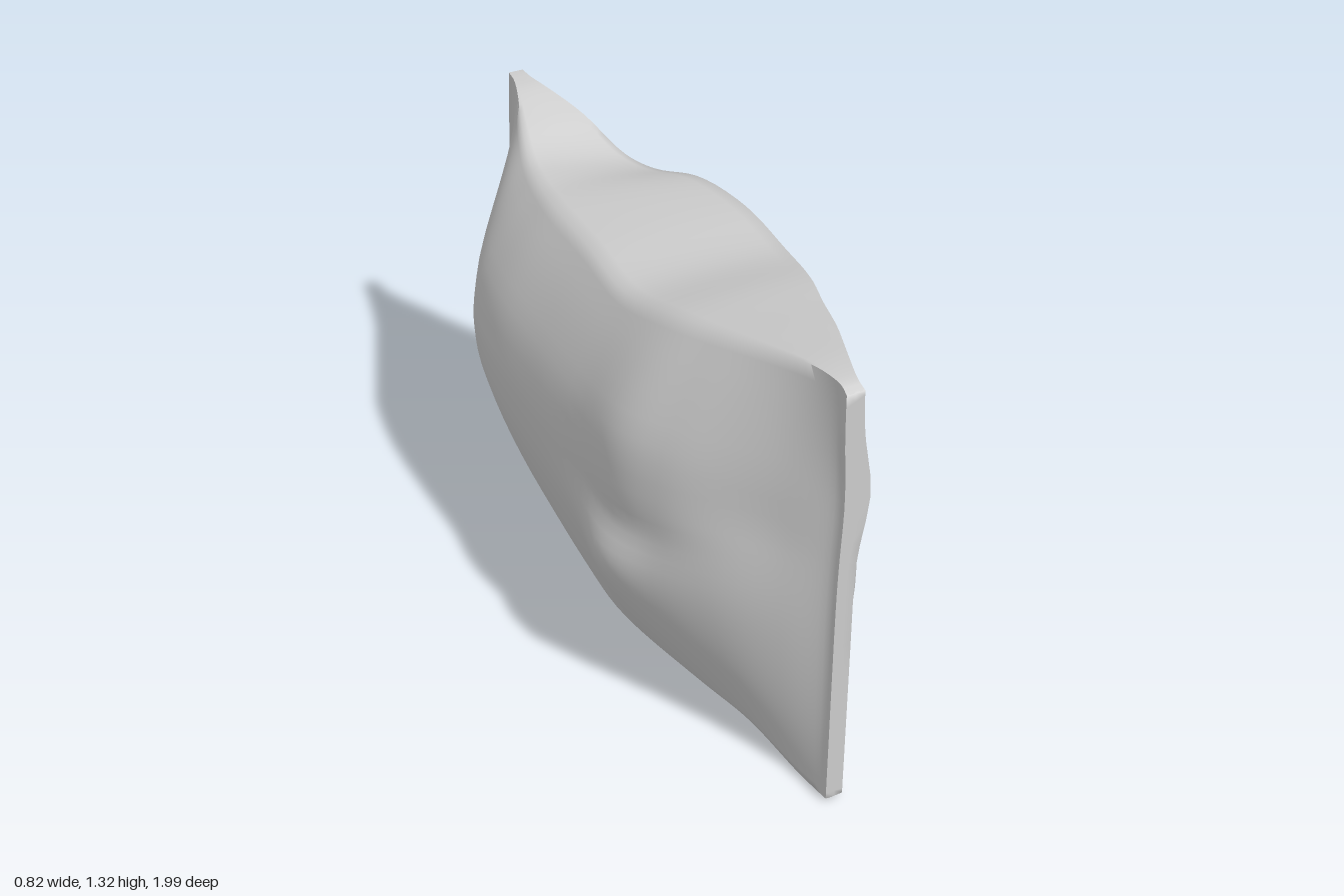
import * as THREE from 'three';
import { toCreasedNormals } from 'three/addons/utils/BufferGeometryUtils.js';

// Stations along the bag: z, widest +x, widest -x, top edge +x, top edge -x, top y, bottom y
const STATIONS = [
  [0.99, -0.005, -0.055, -0.005, -0.055, 1.31, 0.02],
  [0.95, 0.015, -0.06, -0.005, -0.055, 1.325, 0.01],
  [0.85, 0.095, -0.14, 0.03, -0.07, 1.322, 0.01],
  [0.7, 0.185, -0.26, 0.09, -0.11, 1.3, 0.05],
  [0.55, 0.25, -0.35, 0.14, -0.155, 1.275, 0.075],
  [0.38, 0.33, -0.41, 0.2, -0.195, 1.245, 0.11],
  [0.15, 0.385, -0.39, 0.26, -0.22, 1.19, 0.115],
  [-0.1, 0.405, -0.39, 0.275, -0.205, 1.19, 0.1],
  [-0.35, 0.38, -0.39, 0.25, -0.19, 1.18, 0.13],
  [-0.52, 0.35, -0.37, 0.2, -0.165, 1.17, 0.14],
  [-0.64, 0.32, -0.335, 0.145, -0.14, 1.175, 0.13],
  [-0.76, 0.15, -0.25, 0.085, -0.11, 1.22, 0.085],
  [-0.88, 0.035, -0.12, 0.02, -0.075, 1.26, 0.027],
  [-0.95, -0.004, -0.065, -0.004, -0.058, 1.27, 0.012],
  [-1.0, -0.008, -0.053, -0.008, -0.053, 1.272, 0.012],
];
// Side bulges: [height fraction, amount between edge and widest point]
const RIGHT = [[0, 0], [0.06, 0.17], [0.17, 0.4], [0.33, 0.66], [0.49, 1], [0.62, 0.83], [0.8, 0.48], [0.94, 0.17], [1, 0]];
const RIGHT_BACK = [[0, 0], [0.06, 0.25], [0.17, 0.7], [0.28, 0.93], [0.43, 0.65], [0.61, 1], [0.79, 0.5], [0.94, 0.16], [1, 0]];
const LEFT = [[0, 0], [0.07, 0.24], [0.18, 0.55], [0.3, 0.8], [0.41, 0.95], [0.52, 1], [0.6, 0.97], [0.73, 0.82], [0.88, 0.43], [1, 0]];
const LEFT_FRONT = [[0, 0], [0.07, 0.28], [0.18, 0.65], [0.3, 0.95], [0.38, 1], [0.47, 0.82], [0.57, 0.86], [0.72, 0.8], [0.87, 0.43], [1, 0]];

// Smooth interpolation through rows of numbers, t in 0..1
function spline(rows, t) {
  const n = rows.length - 1;
  const i = Math.min(Math.floor(t * n), n - 1);
  const f = t * n - i;
  const at = (k) => rows[Math.max(0, Math.min(n, k))];
  return rows[i].map((b, c) => {
    const a = at(i - 1)[c], d = at(i + 1)[c], e = at(i + 2)[c];
    return b + 0.5 * f * (d - a + f * (2 * a - 5 * b + 4 * d - e + f * (3 * (b - d) + e - a)));
  });
}

const bump = (v, centre, width) => Math.exp(-(((v - centre) / width) ** 2));
const mixRows = (a, b, f) => a.map((row, i) => row.map((v, c) => v + (b[i][c] - v) * f));
const SIDE = 28, CAP = 12, ROWS = 70;

// Closed cross-section, counter-clockwise seen from the front
function section(t) {
  const [z, maxR, maxL, edgeR, edgeL, top, bottom] = spline(STATIONS, t);
  const full = Math.min(1, Math.max(0, (edgeR - edgeL - 0.05) / 0.35));
  const fold = 0.05 * (bump(z, 0.6, 0.22) + bump(z, -0.57, 0.18));
  const lowR = edgeR, lowL = edgeL * (1 + 0.18 * full);
  const topR = top - 0.015 * full - 0.05 * bump(z, -0.55, 0.16);
  const topL = top - 0.015 * full;
  const botR = bottom + fold, botL = bottom + 0.02 * full + fold * 0.5;
  const right = mixRows(RIGHT, RIGHT_BACK, THREE.MathUtils.smoothstep(-z, 0.2, 0.6));
  const left = mixRows(LEFT, LEFT_FRONT, bump(z, 0.38, 0.22));
  const pts = [];
  const side = (keys, v, low, high, max, y0, y1) => {
    const [h, amount] = spline(keys, v);
    const edge = low + (high - low) * h;
    pts.push([edge + (max - edge) * amount, y0 + (y1 - y0) * h]);
  };
  const panel = (x0, y0, x1, y1, crown) => {
    for (let k = 1; k < CAP; k++) {
      const f = k / CAP;
      pts.push([x0 + (x1 - x0) * f, y0 + (y1 - y0) * f + crown * 4 * f * (1 - f)]);
    }
  };
  for (let k = 0; k <= SIDE; k++) side(right, k / SIDE, lowR, edgeR, maxR, botR, topR);
  panel(edgeR, topR, edgeL, topL, 0.012 * full);
  for (let k = SIDE; k >= 0; k--) side(left, k / SIDE, lowL, edgeL, maxL, botL, topL);
  panel(lowL, botL, lowR, botR, bottom - (botR + botL) / 2);
  return pts.map(([x, y]) => place(x, y, z));
}

// Soft dent near the front, thickened front seal and bowed back seal
function place(x, y, z) {
  const offset = x + 0.03;
  const dent = Math.min(0.02 * bump(z, 0.8, 0.12) * bump(y, 0.82, 0.15), Math.abs(offset) * 0.4);
  const wave = (offset > 0 ? 0.033 : 0.01) * bump(y, 1, 0.15) * THREE.MathUtils.smoothstep(z, 0.75, 0.98);
  const bow = y > 0.65 ? 0.03 * ((y - 0.65) / 0.62) ** 2 : 0.07 * ((0.65 - y) / 0.65) ** 2;
  return [x - Math.sign(offset) * dent + wave, y, z + bow * THREE.MathUtils.smoothstep(-z, 0.6, 1)];
}

// Flatten a ring onto its own centre line to close the sealed end
function closeRing(ring) {
  const n = ring.length;
  return ring.map(([x, y, z], i) => {
    const mate = ring[(SIDE * 2 + CAP - i + n) % n];
    return [(x + mate[0]) / 2, (y + mate[1]) / 2, (z + mate[2]) / 2];
  });
}

function bagGeometry() {
  const rings = [];
  for (let i = 0; i <= ROWS; i++) rings.push(section(i / ROWS));
  rings.unshift(closeRing(rings[0]));
  rings.push(closeRing(rings[rings.length - 1]));
  const n = rings[0].length, index = [];
  for (let i = 0; i < rings.length - 1; i++) {
    for (let j = 0; j < n; j++) {
      const a = i * n + j, b = i * n + ((j + 1) % n);
      index.push(a, a + n, b, b, a + n, b + n);
    }
  }
  const geometry = new THREE.BufferGeometry();
  geometry.setAttribute('position', new THREE.Float32BufferAttribute(rings.flat(2), 3));
  geometry.setIndex(index);
  return toCreasedNormals(geometry, 1.35);
}

export function createModel() {
  const group = new THREE.Group();
  group.name = 'sealedBag';
  const material = new THREE.MeshStandardMaterial({ color: 0xcccccc, side: THREE.DoubleSide });
  const bag = new THREE.Mesh(bagGeometry(), material);
  bag.name = 'bagBody';
  group.add(bag);
  return group;
}
